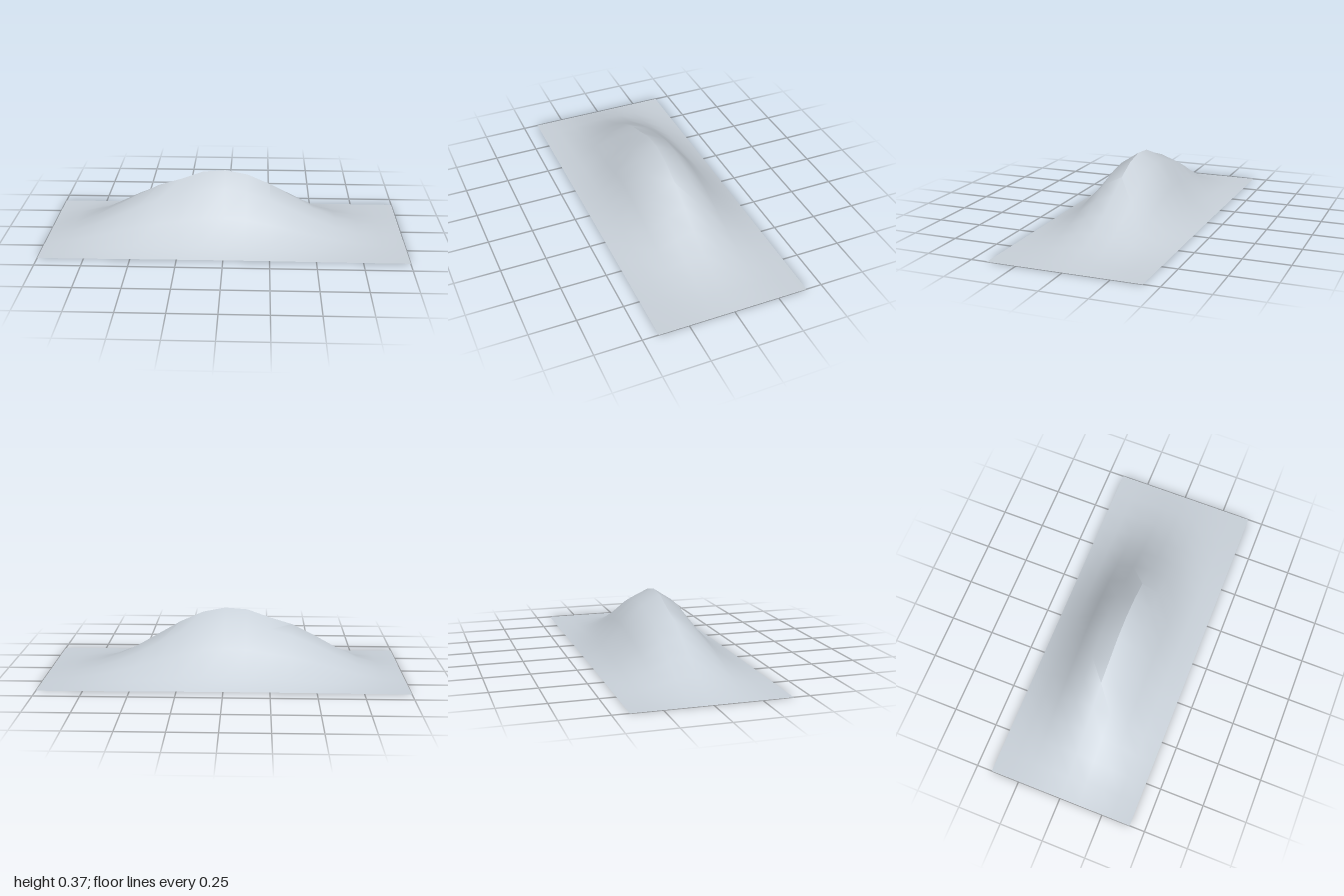
import * as THREE from 'three';
import { toCreasedNormals } from 'three/addons/utils/BufferGeometryUtils.js';

// Ridge line heights from right end (-x) to left end (+x)
const RIDGE = [0, 0.025, 0.075, 0.14, 0.21, 0.272, 0.31, 0.355, 0.365,
  0.34, 0.285, 0.213, 0.14, 0.08, 0.037, 0.012, 0];
// Share of the ridge height on each row, from back (-z) to front (+z)
const SLOPE = [0.008, 0.16, 0.51, 0.86, 1, 0.815, 0.44, 0.13, 0.008];

export function createModel() {
  const model = new THREE.Group();
  model.name = 'hill';
  const stone = new THREE.MeshStandardMaterial({ color: 0xc8d0d8, side: THREE.DoubleSide });
  stone.name = 'pale blue grey';

  // Open sheet raised into a long mound
  const cols = RIDGE.length, rows = SLOPE.length;
  const sheet = new THREE.PlaneGeometry(2, 0.826, cols - 1, rows - 1);
  sheet.rotateX(-Math.PI / 2);
  const pos = sheet.attributes.position;
  for (let i = 0; i < pos.count; i++) {
    pos.setY(i, RIDGE[i % cols] * SLOPE[Math.floor(i / cols)]);
  }

  // Smooth flanks with a sharp crest along the top
  const mound = new THREE.Mesh(toCreasedNormals(sheet, THREE.MathUtils.degToRad(45)), stone);
  mound.name = 'mound';
  model.add(mound);
  return model;
}
